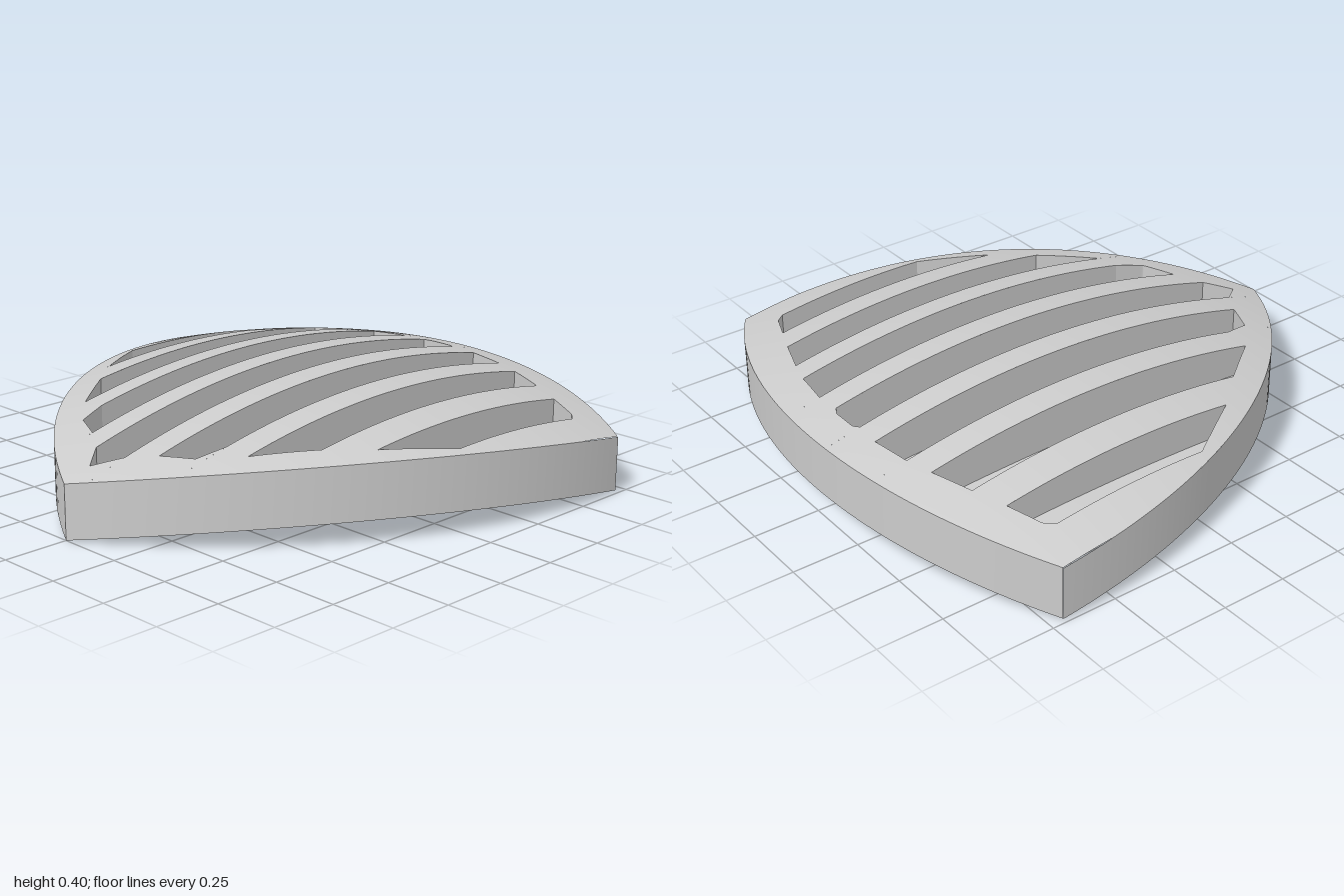
import * as THREE from 'three';
import { mergeGeometries } from 'three/addons/utils/BufferGeometryUtils.js';

const Z_MAX = 0.986, R_SIDE = 1.82, R_END = 1.78;

// Plan outline: two long side arcs meeting at the tip, one end arc
const leftX = z => 0.62 - Math.sqrt(Math.max(0, R_SIDE ** 2 - (Math.abs(z) + 0.83) ** 2));
const rightX = z => 1 - R_END + Math.sqrt(R_END ** 2 - z * z);
const sideZ = x => Math.sqrt(R_SIDE ** 2 - (x - 0.62) ** 2) - 0.83;

// Heights of the domed top, the flatter panel behind the slots, and the underside
const d2 = (x, z) => (x - 0.15) ** 2 + z * z;
const top = (x, z) => 0.4 - 0.1525 * d2(x, z);
const rimBottom = (x, z) => top(x, z) - 0.2;
const panel = (x, z) => 0.225 - 0.06 * d2(x, z);
const panelBottom = (x, z) => panel(x, z) - 0.075;
const underside = (x, z) => {
  const gaps = [
    R_SIDE - Math.hypot(x - 0.62, z + 0.83),
    R_SIDE - Math.hypot(x - 0.62, z - 0.83),
    R_END - Math.hypot(x - 1 + R_END, z),
  ];
  const inset = 1 / Math.hypot(...gaps.map(g => 1 / Math.max(g, 1e-4)));
  return lerp(rimBottom(x, z), panelBottom(x, z), THREE.MathUtils.smoothstep(inset, 0.1, 0.13));
};

// Slots, as [|z|, x] break points of the left and right ends
const slots = [
  { z: [-0.075, 0.075], left: [[0, -0.89], [0.075, -0.8]], right: [[0, 0.875], [0.05, 0.875], [0.075, 0.86]] },
  { z: [0.175, 0.325], left: [[0.175, -0.735], [0.295, -0.68], [0.325, -0.57]], right: [[0.175, 0.865], [0.325, 0.84]] },
  { z: [0.425, 0.575], left: [[0.425, -0.565], [0.575, -0.37]], right: [[0.425, 0.81], [0.575, 0.755]] },
  { z: [0.695, 0.845], left: [[0.695, -0.23], [0.845, 0.01]], right: [[0.695, 0.705], [0.815, 0.655], [0.845, 0.62]] },
];

function along(points, z) {
  const a = Math.abs(z);
  let i = 0;
  while (i < points.length - 2 && a > points[i + 1][0]) i++;
  const [p, q] = [points[i], points[i + 1]];
  return THREE.MathUtils.mapLinear(a, p[0], q[0], p[1], q[1]);
}

// Grid surface from a rule (u, v) => [x, y, z]
function grid(nu, nv, rule) {
  const pos = [], index = [];
  for (let j = 0; j <= nv; j++) for (let i = 0; i <= nu; i++) pos.push(...rule(i / nu, j / nv));
  for (let j = 0; j < nv; j++) for (let i = 0; i < nu; i++) {
    const a = j * (nu + 1) + i, b = a + nu + 1;
    index.push(a, b, a + 1, b, b + 1, a + 1);
  }
  const g = new THREE.BufferGeometry();
  g.setAttribute('position', new THREE.Float32BufferAttribute(pos, 3));
  g.setIndex(index);
  g.computeVertexNormals();
  return g;
}

const lerp = THREE.MathUtils.lerp;

// Horizontal patch between two x limits
function patch(z0, z1, xa, xb, height, nx = 32, nz = 20, ease = t => t) {
  return grid(nx, nz, (u, v) => {
    const z = lerp(z0, z1, ease(v)), x = lerp(xa(z), xb(z), u);
    return [x, height(x, z), z];
  });
}

// Upright wall following a plan path
function wall(path, upper, lower, n = 40) {
  return grid(n, 1, (u, v) => {
    const [x, z] = path(u);
    return [x, v ? lower(x, z) : upper(x, z), z];
  });
}

export function createModel() {
  const model = new THREE.Group();
  const material = new THREE.MeshStandardMaterial({ color: 0xcccccc });
  const add = (name, parts) => {
    const mesh = new THREE.Mesh(mergeGeometries(parts), material);
    mesh.name = name;
    model.add(mesh);
  };

  const all = slots.flatMap((s, i) => i ? [s, { ...s, z: [-s.z[1], -s.z[0]] }] : [s])
    .sort((a, b) => a.z[0] - b.z[0]);

  // Domed face: bars between the slots and the rim around them
  const face = [], floors = [], slotWalls = [];
  const zs = [-Z_MAX, ...all.flatMap(s => s.z), Z_MAX];
  for (let i = 0; i < zs.length; i += 2) {
    const ease = i === 0 ? t => t * t : i === zs.length - 2 ? t => 1 - (1 - t) ** 2 : t => t;
    face.push(patch(zs[i], zs[i + 1], leftX, rightX, top, 48, 20, ease));
  }
  for (const s of all) {
    const [z0, z1] = s.z;
    const xa = z => along(s.left, z), xb = z => along(s.right, z);
    face.push(patch(z0, z1, leftX, xa, top, 10), patch(z0, z1, xb, rightX, top, 10));
    floors.push(patch(z0, z1, xa, xb, panel, 48));
    const edges = [
      t => [xa(lerp(z1, z0, t)), lerp(z1, z0, t)],
      t => [xb(lerp(z0, z1, t)), lerp(z0, z1, t)],
      t => [lerp(xa(z0), xb(z0), t), z0],
      t => [lerp(xb(z1), xa(z1), t), z1],
    ];
    slotWalls.push(...edges.map(e => wall(e, top, panel)));
  }
  add('slottedFace', face);
  add('slotWalls', slotWalls);
  add('innerPanel', floors);

  // Outer wall: front side, end, back side
  const cornerX = rightX(Z_MAX);
  const front = t => { const x = lerp(leftX(0), cornerX, t); return [x, sideZ(x)]; };
  const end = t => { const z = lerp(Z_MAX, -Z_MAX, t); return [rightX(z), z]; };
  const back = t => { const [x, z] = front(1 - t); return [x, -z]; };
  add('outerWall', [front, end, back].map(p => wall(p, top, rimBottom, 64)));

  // Underside: domed rim around the flatter panel, turned to face down
  const under = patch(-Z_MAX, Z_MAX, rightX, leftX, underside, 140, 180, t => 0.5 - 0.5 * Math.cos(Math.PI * t));
  add('underside', [under]);
  return model;
}
